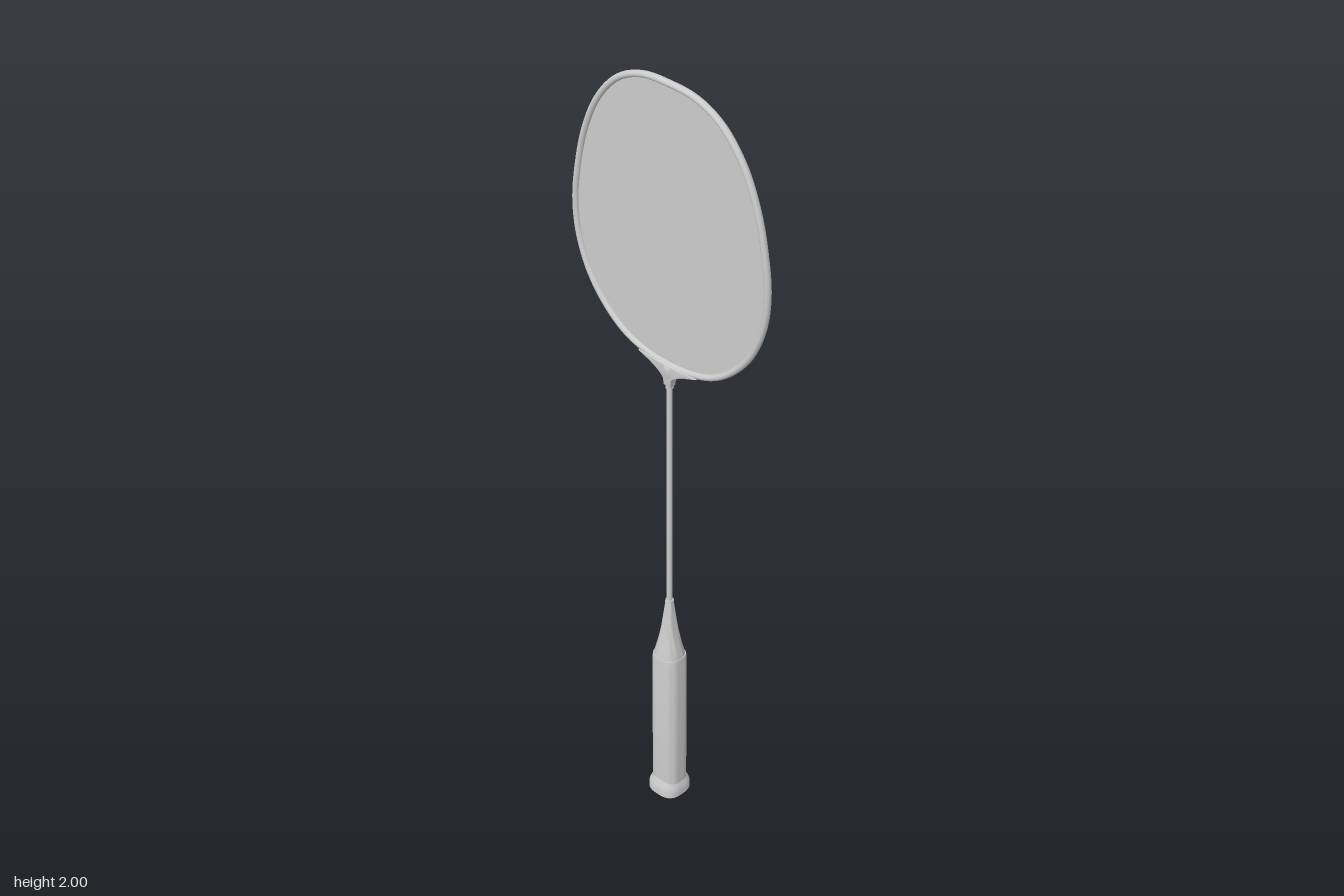
import * as THREE from 'three';
import { toCreasedNormals } from 'three/addons/utils/BufferGeometryUtils.js';

const grey = new THREE.MeshStandardMaterial({ color: 0xcccccc });
const greyThin = new THREE.MeshStandardMaterial({ color: 0xcccccc, side: THREE.DoubleSide });

function part(group, name, geometry, material = grey) {
  const mesh = new THREE.Mesh(geometry, material);
  mesh.name = name;
  group.add(mesh);
}

// Lathe whose round section is squared off into a superellipse and stretched in z
function turned(profile, power = 2, stretch = 1, segments = 32) {
  const g = new THREE.LatheGeometry(profile.map(([r, y]) => new THREE.Vector2(r, y)), segments);
  const p = g.attributes.position;
  for (let i = 0; i < p.count; i++) {
    const x = p.getX(i), z = p.getZ(i), r = Math.hypot(x, z);
    if (r < 1e-6) continue;
    const k = Math.pow(Math.abs(x / r) ** power + Math.abs(z / r) ** power, -1 / power);
    p.setX(i, x * k);
    p.setZ(i, z * k * stretch);
  }
  return toCreasedNormals(g, 0.6);
}

export function createModel() {
  const racket = new THREE.Group();
  racket.name = 'racket';

  // Head: half of the hoop's centre line as [z, y], mirrored into a closed curve
  const half = [
    [0, 1.992], [0.08, 1.985], [0.15, 1.951], [0.211, 1.881], [0.252, 1.79], [0.276, 1.69],
    [0.287, 1.59], [0.277, 1.5], [0.244, 1.415], [0.194, 1.35], [0.135, 1.305], [0.07, 1.283], [0, 1.277],
  ];
  const loop = [...half, ...half.slice(1, -1).reverse().map(([z, y]) => [-z, y])];
  const hoop = new THREE.CatmullRomCurve3(
    loop.map(([z, y]) => new THREE.Vector3(0, y, z)), true, 'centripetal');
  part(racket, 'frame', new THREE.TubeGeometry(hoop, 128, 0.008, 14, true).scale(1.1, 1, 1));

  // String bed: one thin sheet filling the hoop
  const bed = new THREE.Shape(hoop.getSpacedPoints(128).map(p => new THREE.Vector2(p.z, p.y)));
  part(racket, 'stringBed', new THREE.ShapeGeometry(bed).rotateY(-Math.PI / 2), greyThin);

  // Throat: flared web between hoop and shaft
  const web = new THREE.Shape();
  web.moveTo(-0.008, 1.225);
  web.lineTo(0.008, 1.225);
  web.lineTo(0.01, 1.24);
  web.quadraticCurveTo(0.025, 1.262, 0.085, 1.28);
  web.quadraticCurveTo(0, 1.274, -0.085, 1.28);
  web.quadraticCurveTo(-0.025, 1.262, -0.01, 1.24);
  const throat = new THREE.ExtrudeGeometry(web, {
    depth: 0.012, bevelThickness: 0.004, bevelSize: 0.003, bevelSegments: 3, curveSegments: 10,
  }).translate(0, 0, -0.006).rotateY(-Math.PI / 2);
  part(racket, 'throat', toCreasedNormals(throat, 0.7));
  part(racket, 'throatCollar', turned([
    [0, 1.213], [0.009, 1.213], [0.009, 1.24], [0.013, 1.25], [0.013, 1.272], [0.01, 1.278], [0, 1.278],
  ], 2.6, 1, 20));

  // Shaft
  part(racket, 'shaft', new THREE.CylinderGeometry(0.007, 0.007, 0.68, 20).translate(0, 0.91, 0));

  // Cone cap above the grip
  part(racket, 'cone', turned([
    [0.034, 0.425], [0.033, 0.44], [0.026, 0.47], [0.019, 0.51], [0.014, 0.55],
    [0.01, 0.585], [0.009, 0.6], [0, 0.6],
  ], 2.5, 1.08));

  // Grip and flared butt with a softly squared section
  part(racket, 'grip', turned([
    [0.036, 0.03], [0.036, 0.425], [0.0345, 0.435], [0, 0.435],
  ], 2.8, 1.08));
  part(racket, 'butt', turned([
    [0, 0], [0.042, 0], [0.045, 0.004], [0.045, 0.022], [0.042, 0.032], [0.037, 0.042], [0.035, 0.052],
  ], 2.8, 1.02));

  return racket;
}
